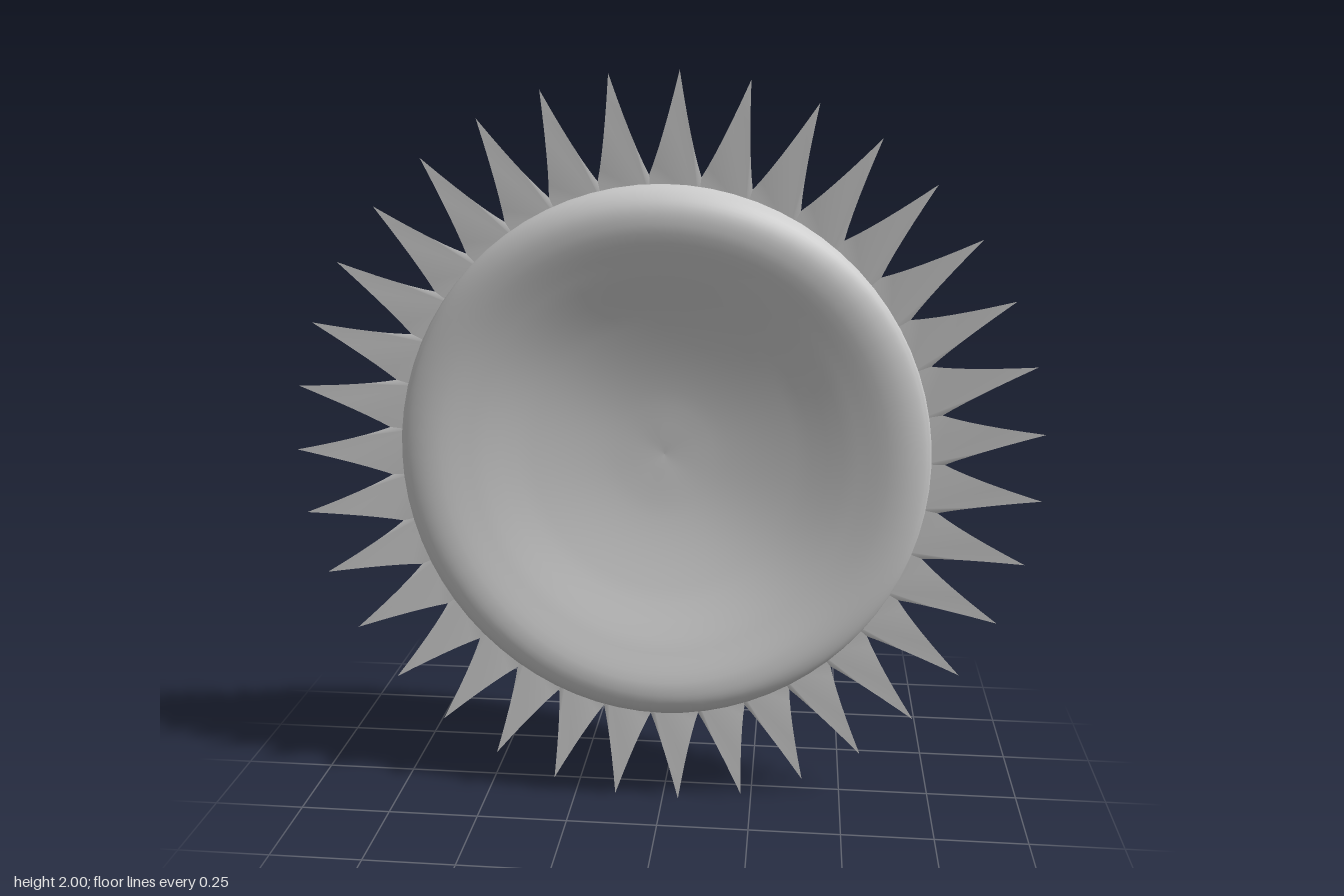
import * as THREE from 'three';
import { ParametricGeometry } from 'three/addons/geometries/ParametricGeometry.js';

const PETALS = 35;
const RX = 0.708, RY = 0.725;
const DISH = 0.03; // depth of the hollow in the face

// Cross-section of the cushion at an angle: back centre -> rim -> front centre
function profile(angle) {
  const peak = 0.12 + 0.055 * Math.pow(Math.abs(Math.sin(angle)), 3.5);
  const rise = peak - 0.09;
  const hollow = (w) => DISH + (peak - DISH) * w;
  const points = [
    [0.001, -0.172], [0.15, -0.171], [0.31, -0.16], [0.6, -0.105], [0.8, -0.02],
    [0.93, 0.04], [0.985, 0.07], [1, 0.095],
    [0.985, 0.09 + rise * 0.5], [0.94, 0.09 + rise * 0.88], [0.87, peak],
    [0.73, hollow(0.82)], [0.5, hollow(0.4)], [0.25, hollow(0.1)], [0.001, DISH],
  ];
  return new THREE.CatmullRomCurve3(points.map(([r, z]) => new THREE.Vector3(r, 0, z)));
}

// Domed back, rounded rim and saddle-shaped face in one smooth skin
function createCushion(material) {
  const geometry = new ParametricGeometry((u, v, target) => {
    const angle = u * Math.PI * 2;
    const p = profile(angle).getPoint(v);
    target.set(Math.cos(angle) * RX * p.x, Math.sin(angle) * RY * p.x, p.z);
  }, 72, 56);
  const mesh = new THREE.Mesh(geometry, material);
  mesh.name = 'flowerCentre';
  mesh.position.y = 0.995;
  return mesh;
}

// Pointed petal along +x with slightly concave edges and a folded-back base
function createPetalGeometry() {
  const half = 0.74 * Math.tan(Math.PI / PETALS);
  const shape = new THREE.Shape();
  shape.moveTo(0.68, -half * 0.92);
  shape.lineTo(0.74, -half);
  shape.quadraticCurveTo(0.82, -0.037, 1, 0);
  shape.quadraticCurveTo(0.82, 0.037, 0.74, half);
  shape.lineTo(0.68, half * 0.92);
  const geometry = new THREE.ShapeGeometry(shape, 6);
  const pos = geometry.attributes.position;
  for (let i = 0; i < pos.count; i++) pos.setZ(i, -2.5 * pos.getY(i) ** 2);
  geometry.computeVertexNormals();
  return geometry;
}

export function createModel() {
  const model = new THREE.Group();
  model.name = 'sunflowerHead';
  const material = new THREE.MeshStandardMaterial({ color: 0xcccccc });
  const thin = new THREE.MeshStandardMaterial({ color: 0xcccccc, side: THREE.DoubleSide });

  model.add(createCushion(material));

  // Ring of petals
  const ring = new THREE.Group();
  ring.name = 'petals';
  ring.position.set(0, 1, 0.098);
  const petalGeometry = createPetalGeometry();
  for (let i = 0; i < PETALS; i++) {
    const petal = new THREE.Mesh(petalGeometry, thin);
    petal.name = 'petal';
    petal.rotation.z = Math.PI + (i / PETALS) * Math.PI * 2;
    ring.add(petal);
  }
  model.add(ring);
  return model;
}
